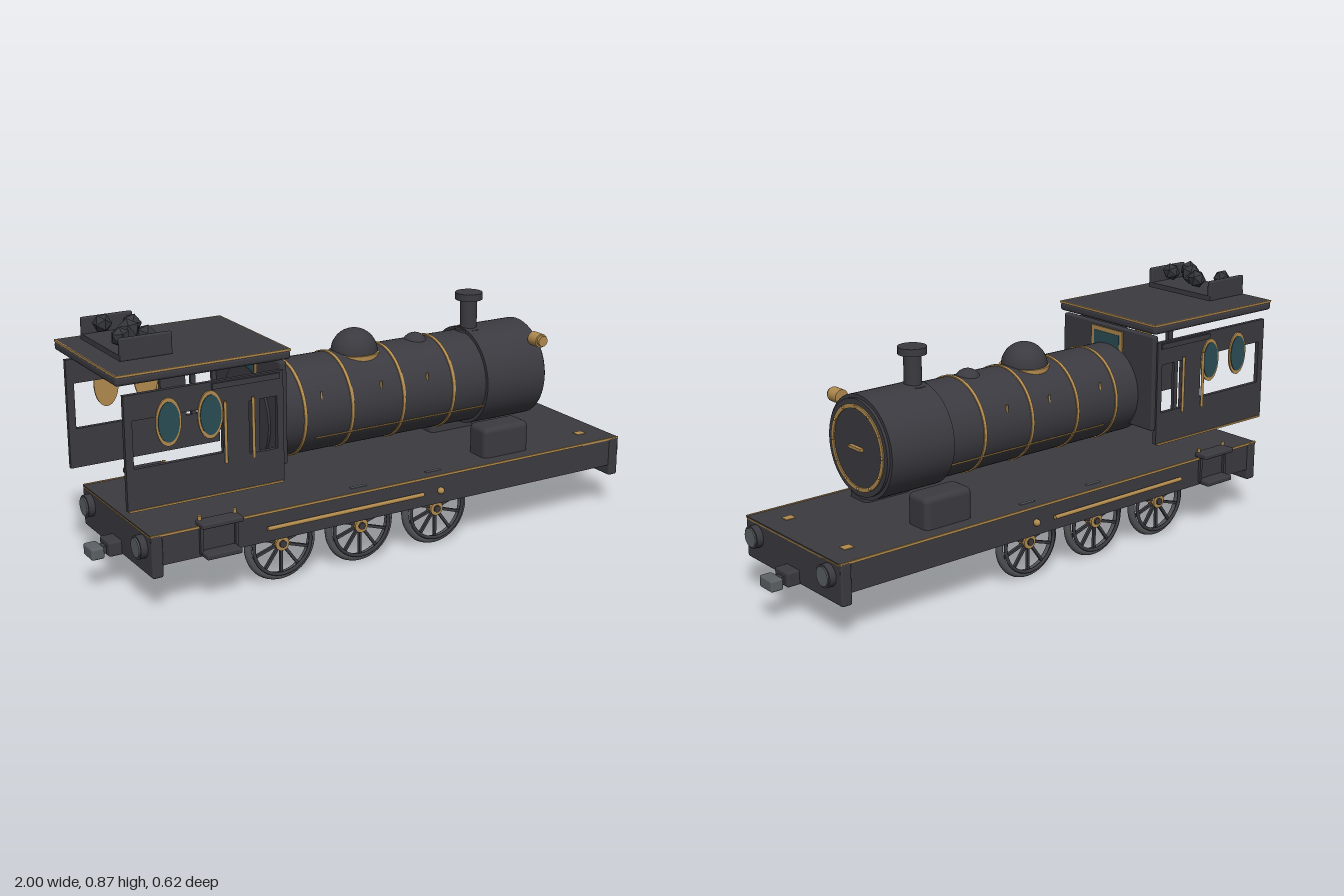
import * as THREE from 'three';
import { RoundedBoxGeometry } from 'three/addons/geometries/RoundedBoxGeometry.js';

const mat = (name, color, extra = {}) => Object.assign(new THREE.MeshStandardMaterial({ color, ...extra }), { name });

export function createModel() {
  const body = mat('charcoal paint', 0x3b3a40);
  const gold = mat('brass', 0xb08a4e);
  const glass = mat('teal glass', 0x2b4d55);
  const grey = mat('steel grey', 0x5b6165);
  const tyre = mat('wheel steel', 0x505355);
  const coalMat = mat('coal', 0x33353b, { flatShading: true });

  const root = new THREE.Group();
  const add = (name, geo, m, x = 0, y = 0, z = 0, parent = root) => {
    const mesh = new THREE.Mesh(geo, m);
    mesh.name = name;
    mesh.position.set(x, y, z);
    parent.add(mesh);
    return mesh;
  };
  // Box given by its lower and upper limits on each axis
  const block = (name, m, [x0, x1], [y0, y1], [z0, z1], r = 0) => {
    const s = [x1 - x0, y1 - y0, z1 - z0];
    const geo = r ? new RoundedBoxGeometry(...s, 3, r) : new THREE.BoxGeometry(...s);
    return add(name, geo, m, (x0 + x1) / 2, (y0 + y1) / 2, (z0 + z1) / 2);
  };
  // Same box on both sides of the model
  const pair = (name, m, xs, ys, [z0, z1], r) => {
    block(name, m, xs, ys, [z0, z1], r);
    block(name, m, xs, ys, [-z1, -z0], r);
  };
  const cyl = (r, h, axis = 'y', n = 32) => {
    const g = new THREE.CylinderGeometry(r, r, h, n);
    if (axis === 'x') g.rotateZ(-Math.PI / 2);
    if (axis === 'z') g.rotateX(Math.PI / 2);
    return g;
  };

  // Running board and frame
  block('deck', body, [-0.9, 0.9], [0.222, 0.255], [-0.262, 0.262]);
  pair('sideSill', body, [-0.89, 0.89], [0.155, 0.25], [0.245, 0.262]);
  pair('deckTrim', gold, [-0.9, 0.9], [0.249, 0.257], [0.26, 0.266]);
  pair('deckStud', gold, [0.79, 0.825], [0.252, 0.257], [0.147, 0.177]);
  for (const x of [-0.147, 0.143]) pair('deckPlate', grey, [x - 0.03, x + 0.03], [0.252, 0.257], [0.212, 0.224]);

  // Both ends: beam, lamps and coupler
  for (const s of [-1, 1]) {
    const span = (a, b) => (s > 0 ? [a, b] : [-b, -a]);
    block('bufferBeam', body, span(0.862, 0.9), [0.117, 0.255], [-0.268, 0.268], 0.008);
    block('beamTrim', gold, span(0.896, 0.902), [0.247, 0.251], [-0.258, 0.258]);
    block('couplerBase', body, span(0.89, 0.943), [0.117, 0.165], [-0.037, 0.037], 0.006);
    block('couplerNeck', body, span(0.94, 0.965), [0.124, 0.148], [-0.016, 0.016]);
    block('couplerHead', grey, span(0.956, 1.0), [0.115, 0.154], [-0.035, 0.035], 0.007);
    for (const z of [-0.203, 0.203]) {
      add('lampHousing', cyl(0.037, 0.025, 'x'), body, s * 0.91, 0.205, z);
      add('lampLens', cyl(0.031, 0.006, 'x'), grey, s * 0.924, 0.205, z);
    }
  }

  // Wheels, with hub at the origin and the outside facing +z
  const makeWheel = () => {
    const w = new THREE.Group();
    w.name = 'wheel';
    add('tyre', new THREE.TorusGeometry(0.114, 0.0125, 10, 48), tyre, 0, 0, 0, w);
    add('innerRim', new THREE.TorusGeometry(0.102, 0.006, 8, 48), body, 0, 0, 0.019, w);
    add('hub', cyl(0.024, 0.03, 'z', 24), gold, 0, 0, 0.005, w);
    add('hubCap', cyl(0.012, 0.012, 'z', 16), body, 0, 0, 0.02, w);
    for (let i = 0; i < 10; i++) {
      const a = (i / 10) * Math.PI * 2;
      const spoke = add('spoke', new THREE.BoxGeometry(0.009, 0.088, 0.01), body,
        -Math.sin(a) * 0.062, Math.cos(a) * 0.062, 0.007, w);
      spoke.rotation.z = a;
    }
    return w;
  };
  for (const x of [-0.44, -0.147, 0.147]) {
    for (const s of [-1, 1]) {
      const w = makeWheel();
      w.position.set(x, 0.127, s * 0.22);
      if (s < 0) w.rotation.y = Math.PI;
      root.add(w);
    }
    add('axle', cyl(0.016, 0.42, 'z', 16), tyre, x, 0.127, 0);
  }

  // Boiler and smokebox
  add('boiler', cyl(0.158, 0.85, 'x', 64), body, -0.015, 0.495, 0);
  add('smokebox', cyl(0.17, 0.24, 'x', 64), body, 0.517, 0.495, 0);
  add('smokeboxDoor', cyl(0.158, 0.02, 'x', 64), body, 0.637, 0.495, 0);
  for (const x of [-0.305, -0.13, 0.067, 0.265]) add('boilerBand', cyl(0.162, 0.011, 'x', 64), gold, x, 0.495, 0);
  const ring = new THREE.Shape().absarc(0, 0, 0.141, 0, Math.PI * 2);
  ring.holes.push(new THREE.Path().absarc(0, 0, 0.127, 0, Math.PI * 2, true));
  const ringGeo = new THREE.ExtrudeGeometry(ring, { depth: 0.008, bevelEnabled: false, curveSegments: 48 });
  ringGeo.rotateY(Math.PI / 2);
  add('smokeboxRing', ringGeo, gold, 0.643, 0.495, 0);
  for (let i = 0; i < 12; i++) {
    const a = (i / 12) * Math.PI * 2;
    add('ringBolt', new THREE.SphereGeometry(0.005, 8, 6), gold, 0.651, 0.495 + Math.cos(a) * 0.134, Math.sin(a) * 0.134);
  }
  block('doorHandle', gold, [0.645, 0.66], [0.491, 0.501], [-0.033, 0.033]);
  for (const s of [-1, 1]) {
    add('boilerRail', cyl(0.003, 0.66, 'x', 8), gold, 0.07, 0.42, s * 0.145);
    for (const x of [-0.24, -0.015, 0.165]) add('boilerPin', cyl(0.004, 0.025, 'y', 8), gold, x, 0.56, s * 0.146);
  }
  pair('saddleBox', body, [0.36, 0.545], [0.23, 0.36], [0.112, 0.212], 0.02);

  // Domes, chimney and whistle
  add('domeRing', cyl(0.085, 0.025, 'y', 40), gold, -0.03, 0.632, 0);
  add('steamDome', new THREE.SphereGeometry(0.078, 40, 24), body, -0.03, 0.643, 0);
  add('smallDome', new THREE.SphereGeometry(0.045, 32, 16), body, 0.21, 0.628, 0);
  add('chimneyBase', cyl(0.046, 0.03), body, 0.43, 0.645, 0);
  add('chimney', cyl(0.029, 0.13), body, 0.43, 0.705, 0);
  add('chimneyCap', cyl(0.047, 0.024), body, 0.43, 0.773, 0);
  add('whistle', cyl(0.024, 0.046, 'z', 24), gold, 0.615, 0.625, 0.15);
  add('whistleTip', cyl(0.018, 0.012, 'z', 24), gold, 0.615, 0.625, 0.178);

  // Cab sides with openings
  const rect = (P, x0, x1, y0, y1) => new P([[x0, y0], [x1, y0], [x1, y1], [x0, y1]].map(([x, y]) => new THREE.Vector2(x, y)));
  const side = rect(THREE.Shape, -0.955, -0.425, 0.335, 0.695);
  side.holes.push(rect(THREE.Path, -0.93, -0.635, 0.465, 0.615), rect(THREE.Path, -0.545, -0.447, 0.445, 0.615));
  const sideGeo = new THREE.ExtrudeGeometry(side, { depth: 0.015, bevelEnabled: false });
  for (const s of [-1, 1]) {
    add('cabSide', sideGeo, body, 0, 0, s > 0 ? 0.217 : -0.232);
    for (const x of [-0.815, -0.677]) {
      // Brass backing plate with the pane on its outer face
      const frame = add('ovalFrame', cyl(0.042, 0.006, 'z', 40), gold, x, 0.594, s * 0.234);
      const pane = add('ovalPane', cyl(0.035, 0.004, 'z', 40), glass, x, 0.594, s * 0.238);
      frame.scale.y = pane.scale.y = 1.8;
    }
    for (const x of [-0.632, -0.537]) add('grabBar', cyl(0.005, 0.195, 'y', 10), gold, x, 0.533, s * 0.246);
  }
  pair('cabSillTrim', gold, [-0.95, -0.43], [0.331, 0.337], [0.229, 0.235]);
  pair('cabGutter', body, [-0.67, -0.44], [0.672, 0.69], [0.228, 0.24]);
  pair('cabDoorPost', body, [-0.525, -0.508], [0.44, 0.62], [0.218, 0.23]);
  // Cab front wall and its window
  block('cabFront', body, [-0.432, -0.408], [0.385, 0.718], [-0.226, 0.226], 0.006);
  block('frontWindowFrame', gold, [-0.436, -0.404], [0.585, 0.706], [-0.078, 0.078]);
  block('frontWindowPane', glass, [-0.438, -0.402], [0.6, 0.691], [-0.062, 0.062]);

  // Roof with a brass strip round its edge
  block('roof', body, [-0.98, -0.4], [0.727, 0.757], [-0.241, 0.241], 0.011);
  block('roofTop', body, [-0.976, -0.404], [0.75, 0.761], [-0.236, 0.236]);
  pair('roofTrim', gold, [-0.979, -0.401], [0.754, 0.761], [0.235, 0.24]);
  for (const x of [-0.979, -0.406]) block('roofTrimEnd', gold, [x, x + 0.005], [0.754, 0.761], [-0.24, 0.24]);

  // Coal tray
  block('coalTray', body, [-0.925, -0.755], [0.775, 0.793], [-0.152, 0.152]);
  pair('coalTraySide', body, [-0.925, -0.755], [0.775, 0.845], [0.137, 0.153], 0.005);
  [[-0.875, -0.094, 0.031], [-0.8, -0.043, 0.033], [-0.84, 0.024, 0.037], [-0.892, 0.085, 0.032], [-0.815, 0.098, 0.032]]
    .forEach(([x, z, r], i) => {
      const lump = add('coalLump', new THREE.IcosahedronGeometry(r, 0), coalMat, x, 0.831, z);
      lump.rotation.set(i * 0.7, i * 1.1, 0);
    });

  // Cab steps, side rods and frame knobs
  pair('upperStep', body, [-0.745, -0.605], [0.257, 0.274], [0.245, 0.302], 0.005);
  pair('lowerStep', body, [-0.735, -0.615], [0.157, 0.175], [0.255, 0.308], 0.005);
  for (const x of [-0.735, -0.615]) pair('stepHanger', body, [x - 0.005, x + 0.005], [0.165, 0.27], [0.262, 0.272]);
  for (const s of [-1, 1]) {
    for (const x of [-0.735, -0.615]) add('stepKnob', cyl(0.006, 0.016, 'y', 12), gold, x, 0.28, s * 0.258);
    add('sideRod', cyl(0.007, 0.58, 'x', 12), gold, -0.22, 0.203, s * 0.274);
    add('frameKnob', new THREE.SphereGeometry(0.012, 14, 10), gold, 0.143, 0.201, s * 0.269);
  }
  return root;
}
